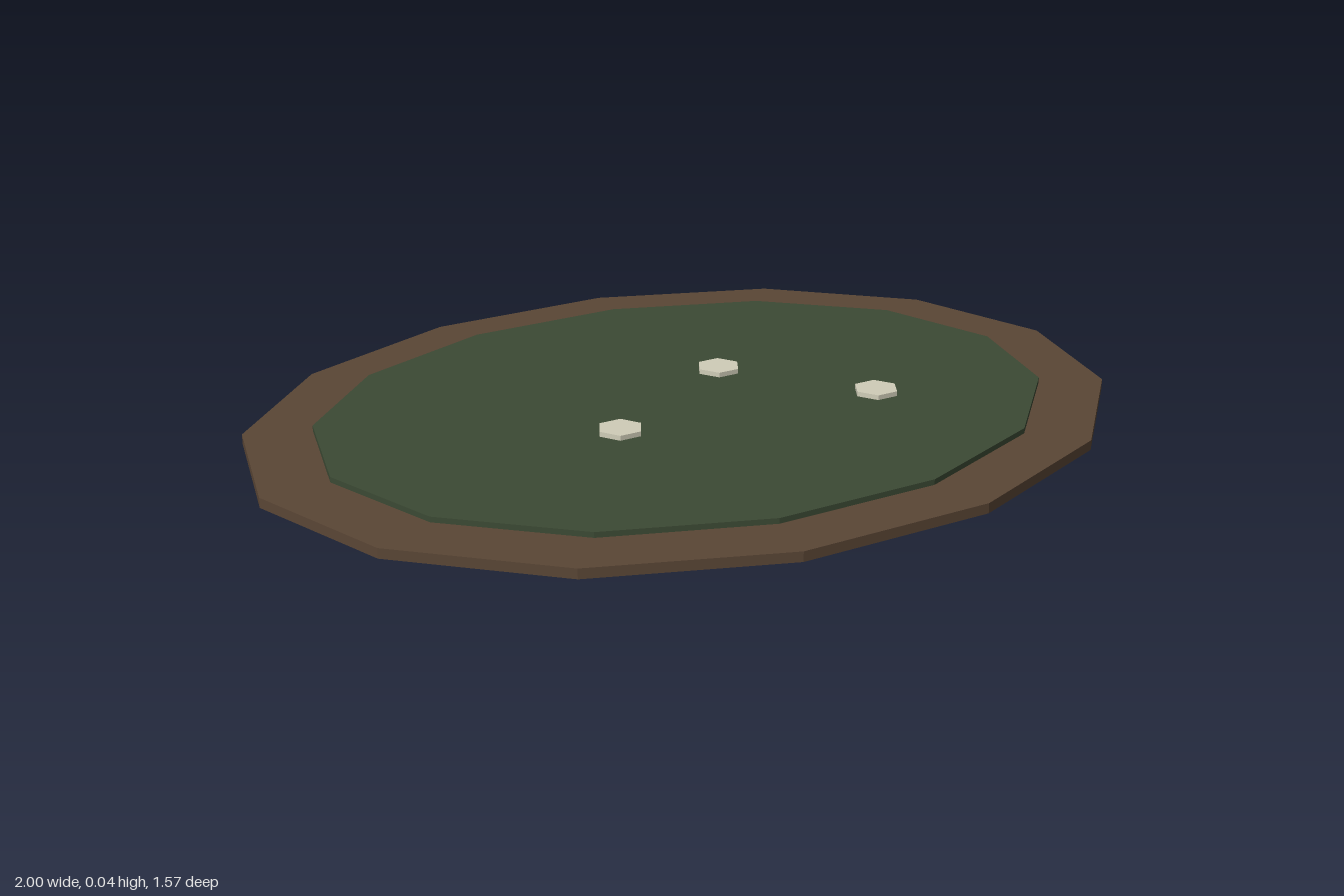
import * as THREE from 'three';

export function createModel() {
  const mat = (name, color) => {
    const m = new THREE.MeshStandardMaterial({ color, flatShading: true });
    m.name = name;
    return m;
  };
  const earth = mat('earth brown', 0x5a4635);
  const moss = mat('murky green', 0x3c4a34);
  const bone = mat('pale bone', 0xd0cdb8);

  const group = new THREE.Group();
  group.name = 'pond';

  // Flat faceted disc with corners on the x axis, from y0 to y1
  const disc = (name, material, sides, rx, rz, y0, y1, x = 0, z = 0) => {
    const geometry = new THREE.CylinderGeometry(1, 1, y1 - y0, sides, 1, false, Math.PI / 2);
    geometry.scale(rx, 1, rz);
    const mesh = new THREE.Mesh(geometry, material);
    mesh.name = name;
    mesh.position.set(x, (y0 + y1) / 2, z);
    group.add(mesh);
  };

  // Muddy bank and the raised water surface
  disc('bank', earth, 14, 1, 0.805, 0, 0.022);
  disc('water', moss, 14, 0.847, 0.669, 0.01, 0.034);

  // Small floating bubbles
  const spots = [[-0.22, 0.09], [0.17, -0.135], [0.39, 0.175]];
  spots.forEach(([x, z], i) => disc(`bubble${i + 1}`, bone, 6, 0.051, 0.051, 0.03, 0.045, x, z));

  return group;
}
